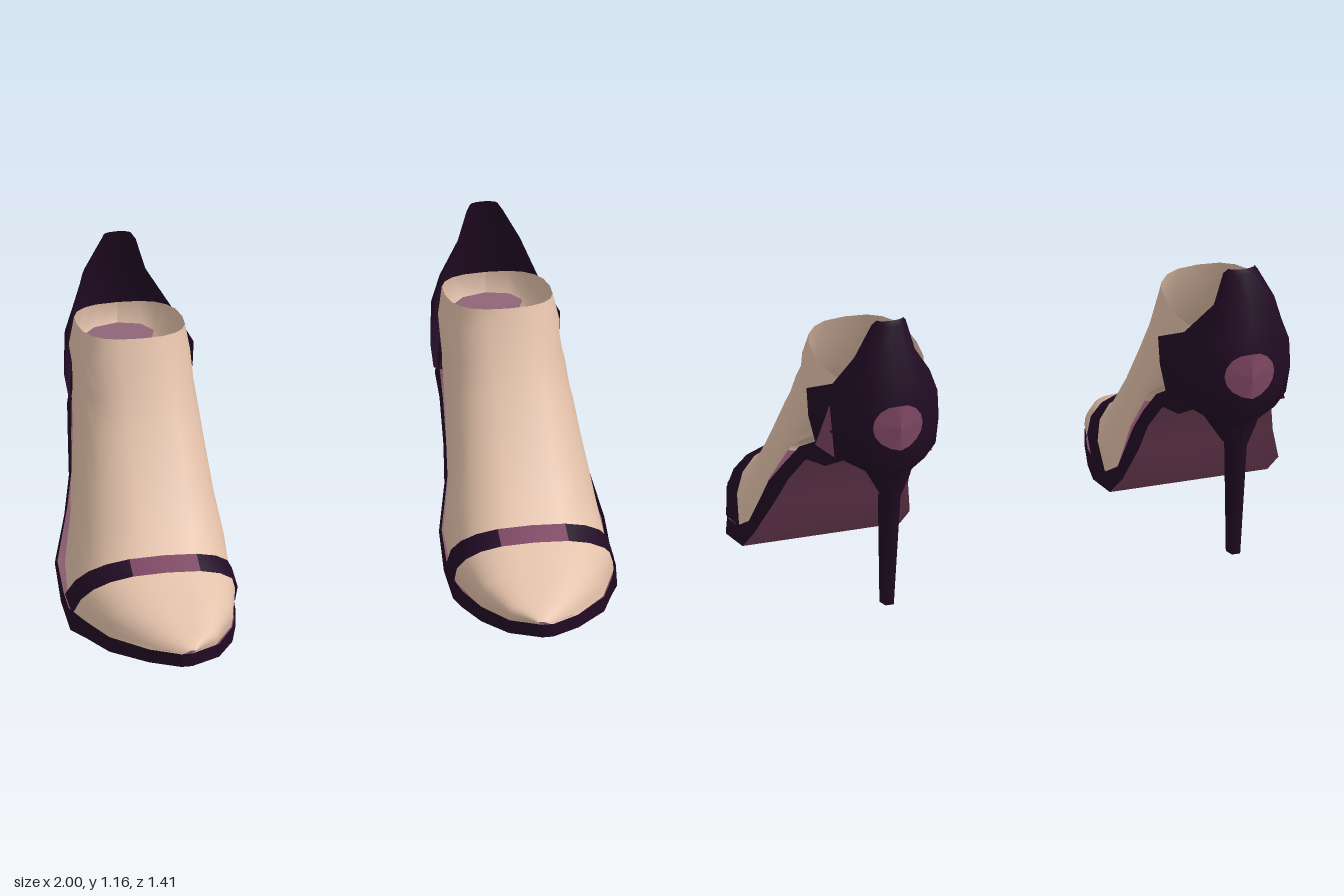
import * as THREE from 'three';

function makeMaterial(name, color) {
  const m = new THREE.MeshStandardMaterial({ color, side: THREE.DoubleSide });
  m.name = name;
  return m;
}

// Surface through rows of points; pick(row, column) chooses a material slot
function surface(rows, side, pick = () => 0) {
  const n = rows[0].length;
  const slots = [[], []];
  for (let i = 0; i < rows.length - 1; i++) {
    for (let j = 0; j < n - 1; j++) {
      const a = i * n + j, b = a + 1, c = a + n, d = c + 1;
      slots[pick(i, j)].push(a, b, c, b, d, c);
    }
  }
  const geo = new THREE.BufferGeometry();
  const pos = rows.flat().flatMap(([x, y, z]) => [x * side, y, z]);
  geo.setAttribute('position', new THREE.Float32BufferAttribute(pos, 3));
  geo.setIndex([...slots[0], ...slots[1]]);
  geo.addGroup(0, slots[0].length, 0);
  geo.addGroup(slots[0].length, slots[1].length, 1);
  geo.computeVertexNormals();
  return geo;
}

// Foot sections: bottom z, y, top z, y, inner x, outer x, centre height 0-1, wrap under in degrees
const FOOT = [
  [0.70, 0.085, 0.70, 0.10, 0.645, 0.675, 0, 0],
  [0.63, 0.08, 0.63, 0.145, 0.54, 0.78, 0, 0],
  [0.48, 0.075, 0.50, 0.205, 0.455, 0.905, 0, 0],
  [0.26, 0.07, 0.39, 0.262, 0.41, 0.985, 0, 0],
  [0.12, 0.085, 0.315, 0.297, 0.41, 0.985, 0, 0],
  [0.01, 0.16, 0.22, 0.405, 0.41, 0.975, 0, 0],
  [-0.06, 0.32, 0.13, 0.515, 0.435, 0.945, 0.1, 10],
  [-0.22, 0.50, 0.03, 0.67, 0.45, 0.915, 0.25, 20],
  [-0.40, 0.63, -0.03, 0.78, 0.46, 0.895, 0.4, 40],
  [-0.57, 0.78, -0.08, 0.89, 0.465, 0.885, 0.5, 90],
  [-0.56, 0.90, -0.11, 0.965, 0.48, 0.865, 0.5, 90],
];

// Rounded arch of points for one foot section, grown outwards by "grow"
function arch([bz, by, tz, ty, x0, x1, c, wrap], grow, count) {
  const points = [];
  const cz = bz + (tz - bz) * c, cy = by + (ty - by) * c;
  const len = Math.hypot(tz - bz, ty - by);
  const round = (v) => Math.sign(v) * Math.abs(v) ** 0.75;
  for (let j = 0; j <= count; j++) {
    const t = THREE.MathUtils.degToRad(-wrap + ((180 + 2 * wrap) * j) / count);
    const s = round(Math.sin(t));
    const reach = s * ((s > 0 ? 1 - c : c) + grow / len);
    const lean = -0.025 * (1 - 2 * c) * Math.max(s, 0);
    points.push([
      (x0 + x1) / 2 + lean + round(Math.cos(t)) * ((x1 - x0) / 2 + grow),
      cy + (ty - by) * reach,
      cz + (tz - bz) * reach,
    ]);
  }
  return points;
}

// Sole sections: top z, y, bottom z, y, inner x, outer x
const SOLE = [
  [0.705, 0.09, 0.705, 0.04, 0.64, 0.68],
  [0.64, 0.088, 0.64, 0.037, 0.53, 0.785],
  [0.50, 0.083, 0.50, 0.025, 0.455, 0.905],
  [0.35, 0.078, 0.35, 0.013, 0.415, 0.96],
  [0.22, 0.075, 0.25, 0.003, 0.40, 1.0],
  [0.12, 0.09, 0.07, 0.03, 0.40, 1.0],
  [0.0, 0.16, -0.05, 0.13, 0.405, 1.0],
  [-0.07, 0.34, -0.13, 0.28, 0.44, 0.95],
  [-0.15, 0.44, -0.20, 0.40, 0.45, 0.92],
  [-0.26, 0.55, -0.33, 0.53, 0.46, 0.90],
  [-0.38, 0.62, -0.47, 0.56, 0.47, 0.875],
  [-0.60, 0.85, -0.56, 0.62, 0.54, 0.80],
];

// Heel counter levels: y, back z, front z, inner x, outer x
const COUNTER = [
  [1.16, -0.605, -0.585, 0.62, 0.72],
  [1.14, -0.615, -0.572, 0.605, 0.735],
  [1.02, -0.65, -0.57, 0.57, 0.80],
  [0.89, -0.685, -0.49, 0.485, 0.855],
  [0.82, -0.695, -0.35, 0.435, 0.905],
  [0.72, -0.70, -0.37, 0.435, 0.905],
  [0.62, -0.685, -0.39, 0.45, 0.885],
  [0.55, -0.625, -0.46, 0.56, 0.76],
  [0.46, -0.60, -0.53, 0.615, 0.705],
];

// Stiletto levels: y, back z, front z, half width
const STEM = [
  [0.62, -0.64, -0.46, 0.11],
  [0.55, -0.62, -0.47, 0.09],
  [0.46, -0.60, -0.53, 0.042],
  [0.015, -0.555, -0.507, 0.026],
  [0.015, -0.53, -0.53, 0],
];

function createShoe(side, mats) {
  const { skin, dark, plum } = mats;
  const shoe = new THREE.Group();
  const add = (name, geo, mat) => {
    const mesh = new THREE.Mesh(geo, mat);
    mesh.name = name;
    shoe.add(mesh);
  };

  // Foot, open at the ankle and underneath
  add('foot', surface(FOOT.map((s) => arch(s, 0, 20)), side), skin);

  // Toe strap with a plum panel in the middle
  const strap = FOOT.slice(3, 5).map((s) => arch(s, 0.01, 10));
  add('toeStrap', surface(strap, side, (i, j) => (j === 4 || j === 5 ? 1 : 0)), [dark, plum]);

  // Sole: insole tucked under the foot, outsole, edges and toe cap
  const edge = (x, y, inset = 0) => SOLE.map((s) => [s[x] + inset, s[y + 1], s[y]]);
  const topIn = edge(4, 0), topOut = edge(5, 0), lowIn = edge(4, 2), lowOut = edge(5, 2);
  const band = (a, b) => surface([a, b], side);
  add('insole', band(edge(4, 0, 0.02), edge(5, 0, -0.02)), plum);
  add('outsole', band(lowIn, lowOut), plum);
  add('outerSoleEdge', band(topOut, lowOut), dark);
  add('innerSoleEdge', band(topIn, lowIn), dark);
  add('toeSoleEdge', band([topIn[0], topOut[0]], [lowIn[0], lowOut[0]]), dark);

  // Heel counter wrapped round the back in six facets
  const counter = COUNTER.map(([y, back, front, x0, x1]) => {
    const row = [];
    for (let j = 0; j <= 6; j++) {
      const t = (Math.PI * j) / 6;
      row.push([
        (x0 + x1) / 2 + (Math.cos(t) * (x1 - x0)) / 2,
        y,
        front + (back - front) * Math.sin(t),
      ]);
    }
    return row;
  });
  const lowerFacet = (i, j) => (side > 0 && i >= 6 && j === 0 ? 1 : 0);
  add('heelCounter', surface(counter, side, lowerFacet), [dark, plum]);

  // Plum triangle on the outside of the left heel
  if (side > 0) {
    const apex = [0.882, 0.83, -0.535];
    const base = [[0.893, 0.62, -0.41], [0.864, 0.62, -0.537]];
    add('heelSidePanel', surface([[apex, apex], base], side), plum);
  }

  // Stiletto heel, plum at the front
  const stem = STEM.map(([y, back, front, w]) => {
    const mid = front + (back - front) * 0.22;
    return [[-0.5, front], [0.5, front], [1, mid], [0.6, back], [-0.6, back], [-1, mid], [-0.5, front]]
      .map(([k, z]) => [0.66 + k * w, y, z]);
  });
  add('stilettoHeel', surface(stem, side, (i, j) => (j < 2 || j === 5 ? 1 : 0)), [dark, plum]);

  // Round ornament folded over the ridge at the back of the heel
  const disc = [0, 1].map((r) => {
    const ring = [];
    for (let j = 0; j <= 16; j++) {
      const t = (Math.PI * j) / 8;
      const x = Math.cos(t) * 0.095 * r, y = 0.775 + Math.sin(t) * 0.085 * r;
      ring.push([0.67 + x, y, -0.706 + 0.38 * Math.abs(x) + 0.2 * Math.max(0, y - 0.8)]);
    }
    return ring;
  });
  add('heelOrnament', surface(disc, side), plum);
  return shoe;
}

export function createModel() {
  const mats = {
    skin: makeMaterial('skin', 0xe2c0a9),
    dark: makeMaterial('dark purple leather', 0x210b24),
    plum: makeMaterial('plum lining', 0x7c4560),
  };
  const model = new THREE.Group();
  model.name = 'heeledSandals';
  for (const [name, side] of [['leftShoe', 1], ['rightShoe', -1]]) {
    const shoe = createShoe(side, mats);
    shoe.name = name;
    model.add(shoe);
  }
  return model;
}
